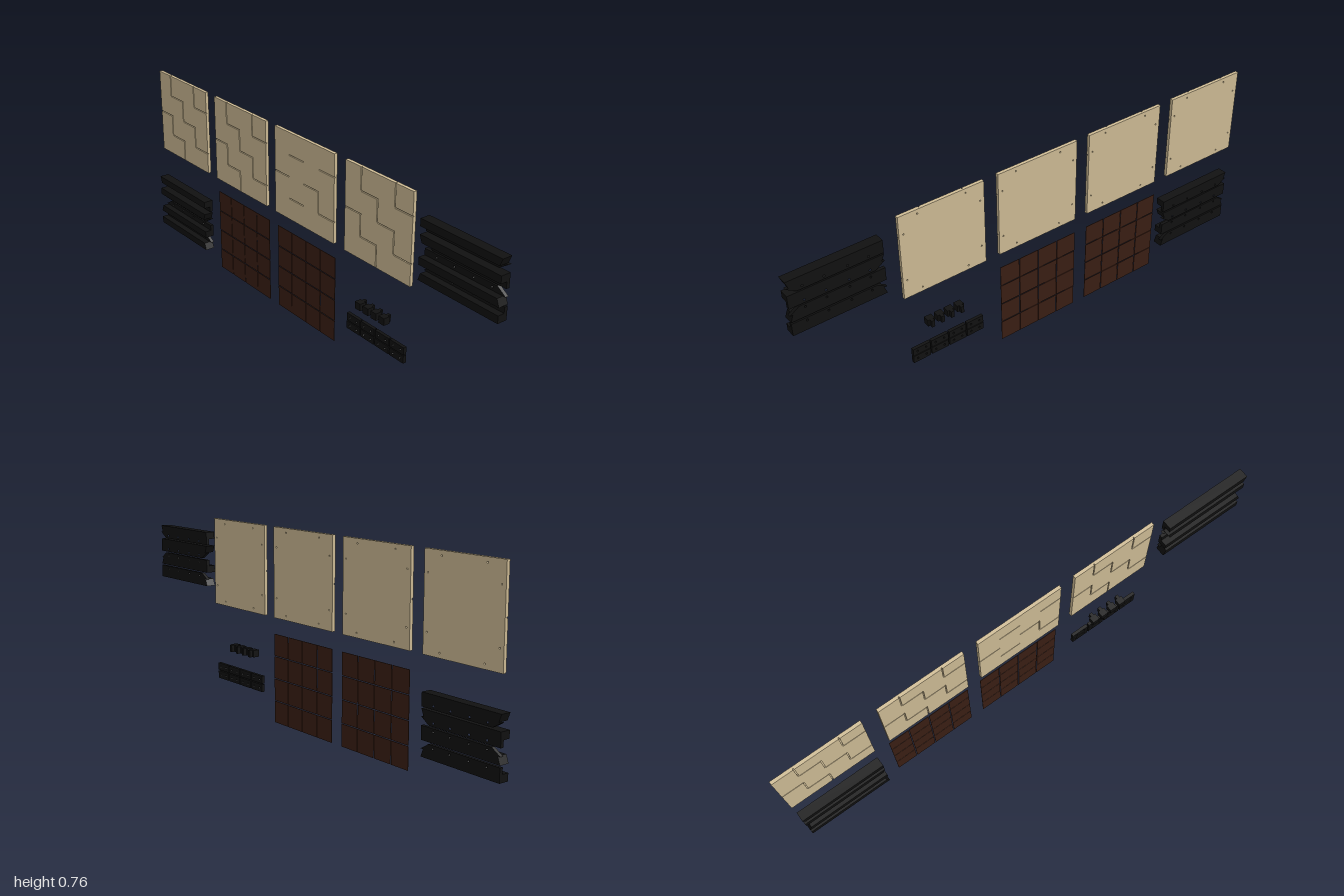
import * as THREE from 'three';

const tan = new THREE.MeshStandardMaterial({ color: 0xd2bf98 });
const brown = new THREE.MeshStandardMaterial({ color: 0x3b1f14 });
const black = new THREE.MeshStandardMaterial({ color: 0x111111 });
const BACK = -0.019, SEAT = -0.006, FRONT = 0.02;

// Box given by its extents
function box(name, mat, x0, x1, y0, y1, z0, z1) {
  const mesh = new THREE.Mesh(new THREE.BoxGeometry(x1 - x0, y1 - y0, z1 - z0), mat);
  mesh.position.set((x0 + x1) / 2, (y0 + y1) / 2, (z0 + z1) / 2);
  mesh.name = name;
  return mesh;
}

// Flat plate from an outline, with round holes [x, y] of radius r
function plate(name, mat, points, holes, r, z0, z1) {
  const shape = new THREE.Shape(points.map(([x, y]) => new THREE.Vector2(x, y)));
  for (const [x, y] of holes) {
    shape.holes.push(new THREE.Path().absarc(x, y, r, 0, Math.PI * 2, true));
  }
  const geo = new THREE.ExtrudeGeometry(shape, { depth: z1 - z0, bevelEnabled: false, curveSegments: 6 });
  geo.translate(0, 0, z0);
  const mesh = new THREE.Mesh(geo, mat);
  mesh.name = name;
  return mesh;
}

// Square board: drilled back plate and a front layer cut by stepped grooves
function board(name, x0, x1, grooved) {
  const g = new THREE.Group();
  g.name = name;
  const y0 = 0.414, y1 = 0.763, mid = -0.011, slot = 0.004;
  const w = x1 - x0, h = y1 - y0, holes = [];
  for (const t of [0.22, 0.78]) {
    for (const e of [0.05, 0.95]) {
      holes.push([x0 + w * t, y0 + h * e], [x0 + w * e, y0 + h * t]);
    }
  }
  g.add(plate('boardBack', tan, [[x0, y0], [x1, y0], [x1, y1], [x0, y1]], holes, 0.003, BACK, mid));
  const stepAt = (d) => d === -2 || d === 0 || d === 2;
  for (let r = 0; r < 4; r++) {
    for (let c = 0; c < 4; c++) {
      const cutRight = c < 3 && stepAt(c - r) && grooved(r, c, true);
      const cutTop = r > 0 && stepAt(c - r) && grooved(r, c, false);
      g.add(box('boardCell', tan,
        x0 + w * c / 4, x0 + w * (c + 1) / 4 - (cutRight ? slot : 0),
        y1 - h * (r + 1) / 4, y1 - h * r / 4 - (cutTop ? slot : 0), mid, SEAT));
    }
  }
  return g;
}

// Frame rail: thick bar with a drilled flange, mitred at one end.
// up = 1 puts the bar on top; miter = 1 cuts the +x end
function rail(x0, x1, y0, y1, up, miter) {
  const g = new THREE.Group();
  g.name = 'frameRail';
  const outer = up > 0 ? y1 : y0, inner = up > 0 ? y0 : y1;
  const seam = outer - up * 0.028, cut = 0.036;
  const a = miter < 0 ? cut : 0, b = miter > 0 ? cut : 0;
  const holes = [0.16, 0.38, 0.62, 0.84].map((t) => [x0 + (x1 - x0) * t, (seam + inner) / 2]);
  g.add(plate('railFlange', black,
    [[x0, seam], [x1, seam], [x1 - b, inner], [x0 + a, inner]], holes, 0.004, BACK, SEAT));
  const bar = plate('railBar', black,
    [[x0, outer], [x1, outer], [x1 - b * 0.3, seam], [x0 + a * 0.3, seam]], [], 0, BACK, FRONT);
  g.add(bar);
  return g;
}

// Thin sheet of sixteen square tiles
function tileSheet(x0) {
  const g = new THREE.Group();
  g.name = 'tileSheet';
  const pitch = 0.0885, size = 0.0855;
  for (let r = 0; r < 4; r++) {
    for (let c = 0; c < 4; c++) {
      const x = x0 + c * pitch, y = r * pitch;
      g.add(box('tile', brown, x, x + size, y, y + size, BACK, BACK + 0.002));
    }
  }
  return g;
}

export function createModel() {
  const model = new THREE.Group();
  model.name = 'boardKit';

  // Four grooved boards
  const all = () => true;
  model.add(board('cornerBoard', -1, -0.648, all));
  model.add(board('topBoard', -0.585, -0.238, all));
  model.add(board('sideBoard', -0.18, 0.173, (r, c, vertical) => !vertical || (r === 2 && c === 2)));
  model.add(board('innerBoard', 0.233, 0.58, all));

  // Two sets of frame rails
  const right = [[0.648, 0.7, 1, 1], [0.59, 0.643, 1, -1], [0.533, 0.585, -1, 1], [0.477, 0.527, -1, -1]];
  for (const [y0, y1, up, miter] of right) model.add(rail(0.642, 1, y0, y1, up, miter));
  const left = [[0.238, 0.288, 1, -1], [0.18, 0.232, 1, 1], [0.124, 0.174, -1, -1], [0.066, 0.117, -1, 1]];
  for (const [y0, y1, up, miter] of left) model.add(rail(-1, -0.648, y0, y1, up, miter));

  // Two tile sheets
  model.add(tileSheet(-0.588), tileSheet(-0.18));

  // Four small clips: block with a narrower tongue behind
  for (let i = 0; i < 4; i++) {
    const x = 0.33 + i * 0.0425;
    const clip = new THREE.Group();
    clip.name = 'clip';
    clip.add(box('clipBlock', black, x, x + 0.029, 0.228, 0.256, SEAT, FRONT));
    clip.add(box('clipTongue', black, x + 0.008, x + 0.021, 0.228, 0.256, BACK, SEAT));
    model.add(clip);
  }

  // Two rows of flat drilled connectors
  for (const y of [0.103, 0.137]) {
    for (let i = 0; i < 4; i++) {
      const x = 0.256 + i * 0.0785, x1 = x + 0.073, y1 = y + 0.03;
      model.add(plate('connector', black, [[x, y], [x1, y], [x1, y1], [x, y1]],
        [[x + 0.018, y + 0.015], [x + 0.055, y + 0.015]], 0.004, BACK, SEAT));
    }
  }
  return model;
}
